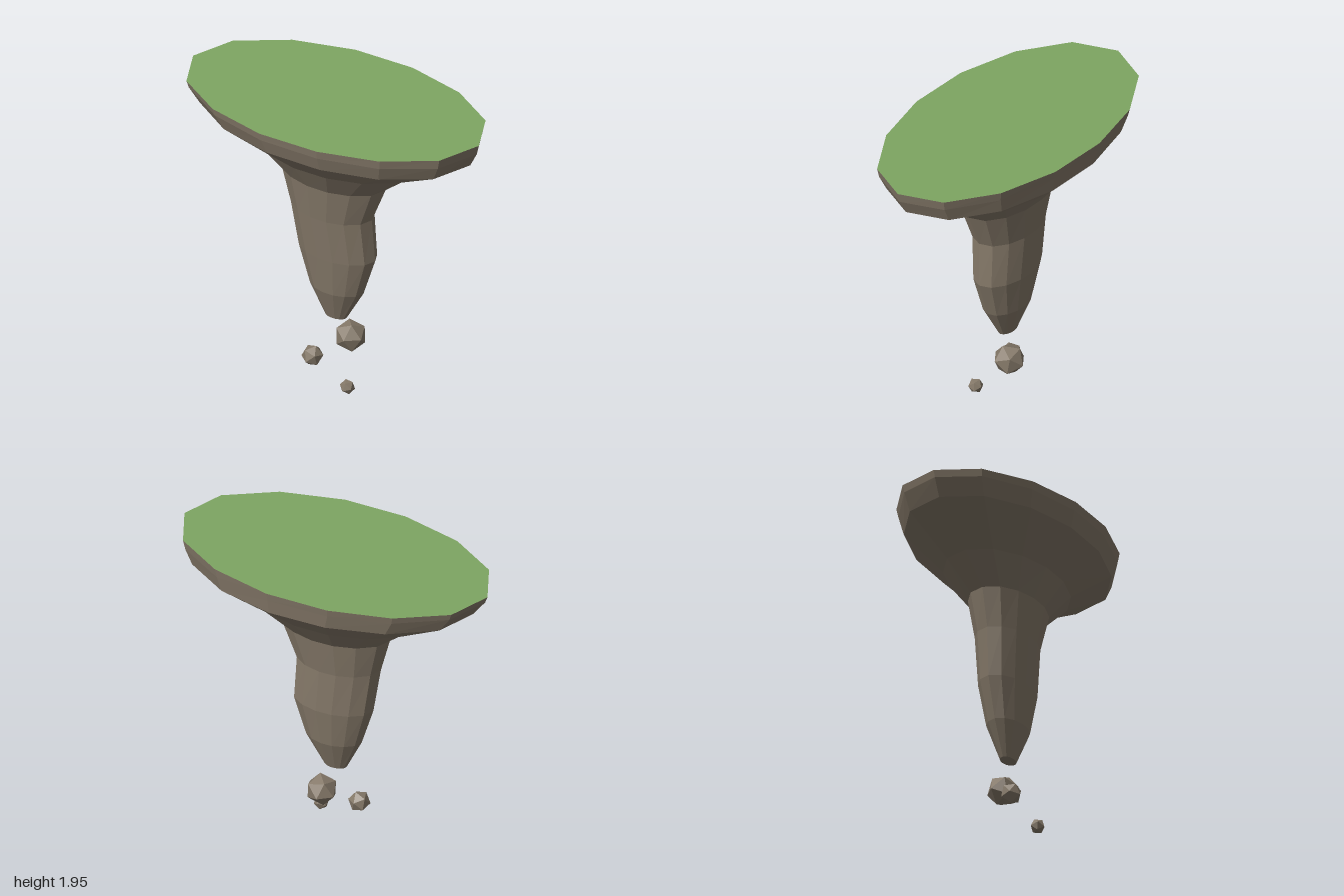
import * as THREE from 'three';

const rock = new THREE.MeshStandardMaterial({ name: 'rock brown', color: 0x857969, flatShading: true });
const grass = new THREE.MeshStandardMaterial({ name: 'grass green', color: 0x7ea662, flatShading: true });

// Unit outline of the plateau: one quarter, mirrored into 14 corners running from +x towards +z
const quarter = [[1, 0], [0.885, 0.48], [0.585, 0.825], [0.2, 1]];
const half = [...quarter, ...quarter.slice(1).reverse().map(([x, z]) => [-x, z])];
const outline = [...half, [-1, 0], ...half.slice(1).reverse().map(([x, z]) => [x, -z])];
const N = outline.length;

// Cross-sections from rim to tip: y, left and right reach in x, back and front reach in z, tilt
const rings = [
  [1.948, -1, 1, -0.55, 0.55, 0.012],
  [1.895, -0.985, 0.985, -0.54, 0.54, 0],
  [1.797, -0.912, 0.935, -0.523, 0.507, 0],
  [1.605, -0.555, 0.57, -0.33, 0.31, 0.01],
  [1.435, -0.355, 0.35, -0.2, 0.21, 0],
  [1.195, -0.293, 0.255, -0.162, 0.175, -0.01],
  [0.9, -0.25, 0.27, -0.155, 0.142, 0],
  [0.648, -0.172, 0.19, -0.117, 0.11, 0],
  [0.438, -0.07, 0.073, -0.042, 0.042, 0],
];

function ringPoints([y, x0, x1, z0, z1, tilt]) {
  return outline.map(([u, v]) => {
    const x = (x0 + x1) / 2 + u * (x1 - x0) / 2;
    return [x, y + tilt * x, (z0 + z1) / 2 + v * (z1 - z0) / 2];
  });
}

function meshFrom(name, points, index, material) {
  const g = new THREE.BufferGeometry();
  g.setAttribute('position', new THREE.Float32BufferAttribute(points.flat(), 3));
  g.setIndex(index);
  g.computeVertexNormals();
  const mesh = new THREE.Mesh(g, material);
  mesh.name = name;
  return mesh;
}

// Tapering rock body, closed at the tip
function rockBody() {
  const points = rings.flatMap(ringPoints);
  const index = [];
  for (let r = 0; r < rings.length - 1; r++) {
    for (let i = 0; i < N; i++) {
      const a = r * N + i, b = r * N + (i + 1) % N;
      index.push(a, b, b + N, a, b + N, a + N);
    }
  }
  const last = (rings.length - 1) * N;
  points.push([0, 0.44, 0]);
  for (let i = 0; i < N; i++) index.push(points.length - 1, last + i, last + (i + 1) % N);
  return meshFrom('rockBody', points, index, rock);
}

// Grassy plateau filling the rim
function grassTop() {
  const points = [...ringPoints(rings[0]), [0, rings[0][0], 0]];
  const index = [];
  for (let i = 0; i < N; i++) index.push(N, (i + 1) % N, i);
  return meshFrom('grassTop', points, index, grass);
}

export function createModel() {
  const group = new THREE.Group();
  group.name = 'floatingIsland';
  group.add(rockBody(), grassTop());

  // Loose boulders drifting below the tip: radius, position, rotation
  const boulders = [
    [0.1, [0.063, 0.28, -0.065], [0.4, 0.3, 0.3]],
    [0.068, [-0.117, 0.157, 0.078], [0.2, 0.9, 0.1]],
    [0.047, [0.154, 0.047, 0.121], [0.7, 0.2, 0.5]],
  ];
  boulders.forEach(([radius, position, rotation], i) => {
    const mesh = new THREE.Mesh(new THREE.IcosahedronGeometry(radius, 0), rock);
    mesh.name = `boulder${i + 1}`;
    mesh.position.set(...position);
    mesh.rotation.set(...rotation);
    group.add(mesh);
  });
  return group;
}
